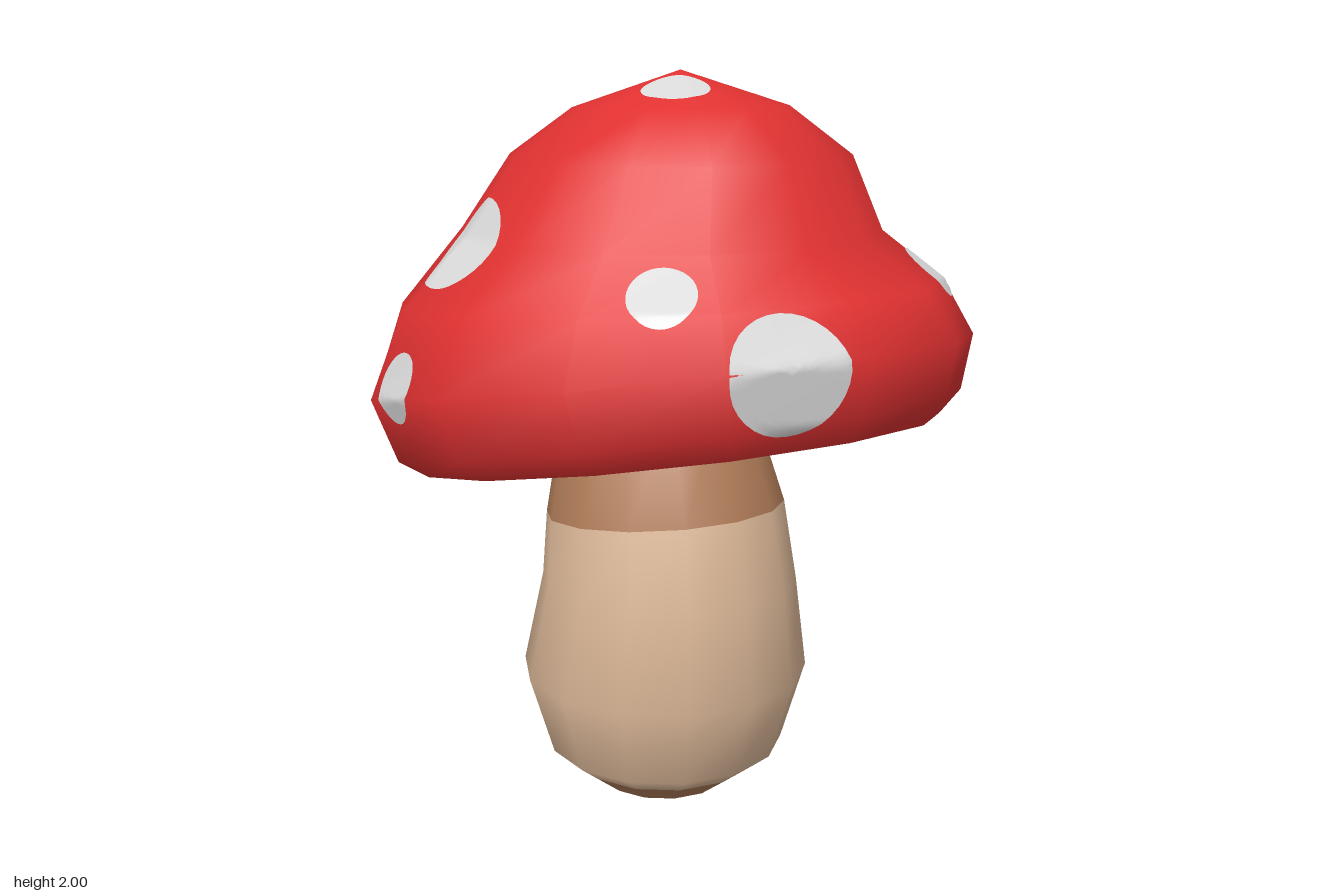
import * as THREE from 'three';

const mat = (name, color, extra = {}) => {
  const m = new THREE.MeshStandardMaterial({ color, ...extra });
  m.name = name;
  return m;
};

const SIDES = 14;

// Skin over tilted rings, listed top to bottom: [y, radiusX, radiusZ, centreZ, tilt].
// bands[i] is the material index between ring i and ring i + 1.
function loft(rings, centreX, bands) {
  const pos = [], index = [];
  const geo = new THREE.BufferGeometry();
  for (const [y, rx, rz, cz, tilt] of rings) {
    for (let j = 0; j < SIDES; j++) {
      const t = (j / SIDES) * Math.PI * 2;
      pos.push(centreX + rx * Math.sin(t), y + tilt * Math.cos(t), cz + rz * Math.cos(t));
    }
  }
  for (let i = 0; i < rings.length - 1; i++) {
    const start = index.length;
    for (let j = 0; j < SIDES; j++) {
      const k = (j + 1) % SIDES;
      const a = i * SIDES + j, b = i * SIDES + k, c = a + SIDES, d = b + SIDES;
      if (rings[i][1] > 0) index.push(a, c, b);
      else index.push(a, c, d);
      if (rings[i][1] > 0 && rings[i + 1][1] > 0) index.push(b, c, d);
    }
    if (bands) geo.addGroup(start, index.length - start, bands[i]);
  }
  geo.setAttribute('position', new THREE.Float32BufferAttribute(pos, 3));
  geo.setIndex(index);
  geo.computeVertexNormals();
  return geo;
}

// Elliptical patch draped over the shell, lifted by a signed amount
function spotGeometry(shell, [px, py, pz, ru, rv], lift) {
  const ray = new THREE.Raycaster();
  const p = new THREE.Vector3(px, py, pz);
  const out = p.clone().sub(new THREE.Vector3(0, 1, 0)).normalize();
  const cast = (from, dir) => {
    ray.set(from.clone().addScaledVector(dir, 0.4), dir.clone().negate());
    return ray.intersectObject(shell)[0];
  };
  const hit = cast(p, out);
  const n = hit.face.normal.clone().add(out).normalize();
  const u = new THREE.Vector3(0, 1, 0).cross(n).normalize();
  const v = n.clone().cross(u);
  const drape = (a, b) => {
    for (let s = 1; s > 0; s -= 0.04) {
      const q = hit.point.clone().addScaledVector(u, a * s).addScaledVector(v, b * s);
      const h = cast(q, n);
      if (h && h.distance < 0.75) return h.point.addScaledVector(n, lift);
    }
    return hit.point.clone().addScaledVector(n, lift);
  };
  const STEPS = 10, SEG = 32;
  const pos = [...drape(0, 0).toArray()], index = [];
  for (let i = 1; i <= STEPS; i++) {
    for (let j = 0; j < SEG; j++) {
      const t = (j / SEG) * Math.PI * 2, r = i / STEPS;
      pos.push(...drape(ru * r * Math.cos(t), rv * r * Math.sin(t)).toArray());
      const k = (j + 1) % SEG, o = 1 + (i - 1) * SEG;
      if (i === 1) index.push(0, o + j, o + k);
      else index.push(o - SEG + j, o + j, o + k, o - SEG + j, o + k, o - SEG + k);
    }
  }
  const geo = new THREE.BufferGeometry();
  geo.setAttribute('position', new THREE.Float32BufferAttribute(pos, 3));
  geo.setIndex(index);
  geo.computeVertexNormals();
  return geo;
}

export function createModel() {
  const red = mat('capRed', 0xe03131, { side: THREE.DoubleSide });
  const white = mat('spotWhite', 0xdadada, { side: THREE.DoubleSide });
  const tan = mat('stemTan', 0xdcb898);
  const brown = mat('stemBrown', 0xb27d59);
  const model = new THREE.Group();
  model.name = 'mushroom';
  const add = (name, geo, material, parent = model) => {
    const m = new THREE.Mesh(geo, material);
    m.name = name;
    parent.add(m);
    return m;
  };

  // Cap: open shell, drooping towards the back
  const cap = add('cap', loft([
    [2.0, 0, 0, 0.05, 0],
    [1.905, 0.29, 0.29, 0.05, 0.005],
    [1.78, 0.46, 0.46, 0.05, 0],
    [1.577, 0.575, 0.575, 0.005, 0],
    [1.405, 0.75, 0.745, 0, 0.065],
    [1.2, 0.84, 0.83, 0, 0.15],
    [1.04, 0.79, 0.775, 0.035, 0.165],
    [0.99, 0.72, 0.705, 0.055, 0.14],
  ], 0), red);
  cap.updateMatrixWorld(true);

  // Spots: centre, then half width and half height; they show inside the cap too
  const spots = new THREE.Group();
  spots.name = 'spots';
  model.add(spots);
  [
    [-0.21, 1.33, 0.8, 0.158, 0.145],
    [-0.4, 1.49, 0.54, 0.085, 0.095],
    [0.52, 1.465, 0.465, 0.085, 0.09],
    [-0.09, 1.95, 0.155, 0.09, 0.09],
    [0.32, 1.87, 0.01, 0.153, 0.153],
    [0.15, 1.43, -0.65, 0.15, 0.145],
    [-0.58, 1.56, -0.1, 0.152, 0.14],
    [-0.83, 1.23, -0.06, 0.085, 0.09],
    [-0.38, 1.07, -0.72, 0.09, 0.09],
    [0.8, 1.125, -0.28, 0.17, 0.145],
    [0.76, 1.0, -0.2, 0.06, 0.1],
  ].forEach((s) => {
    add('spotOutside', spotGeometry(cap, s, 0.004), white, spots);
    add('spotInside', spotGeometry(cap, s, -0.004), white, spots);
  });

  // Stem: brown neck, tan body, brown foot
  add('stem', loft([
    [1.145, 0, 0, 0.01, 0],
    [1.135, 0.19, 0.19, 0.01, 0.03],
    [1.08, 0.268, 0.265, 0.015, 0.04],
    [0.81, 0.333, 0.335, 0.055, 0.035],
    [0.61, 0.358, 0.358, 0.075, 0],
    [0.345, 0.404, 0.403, 0.053, 0],
    [0.12, 0.337, 0.335, 0.054, 0],
    [0.07, 0.275, 0.275, 0.052, 0],
    [0, 0.188, 0.188, 0.05, 0],
  ], -0.055, [1, 1, 1, 0, 0, 0, 0, 1]), [tan, brown]);

  // Flat underside of the foot
  const sole = new THREE.CircleGeometry(0.188, SIDES, Math.PI / 2);
  sole.rotateX(Math.PI / 2);
  add('stemSole', sole, tan).position.set(-0.055, 0, 0.05);

  return model;
}
